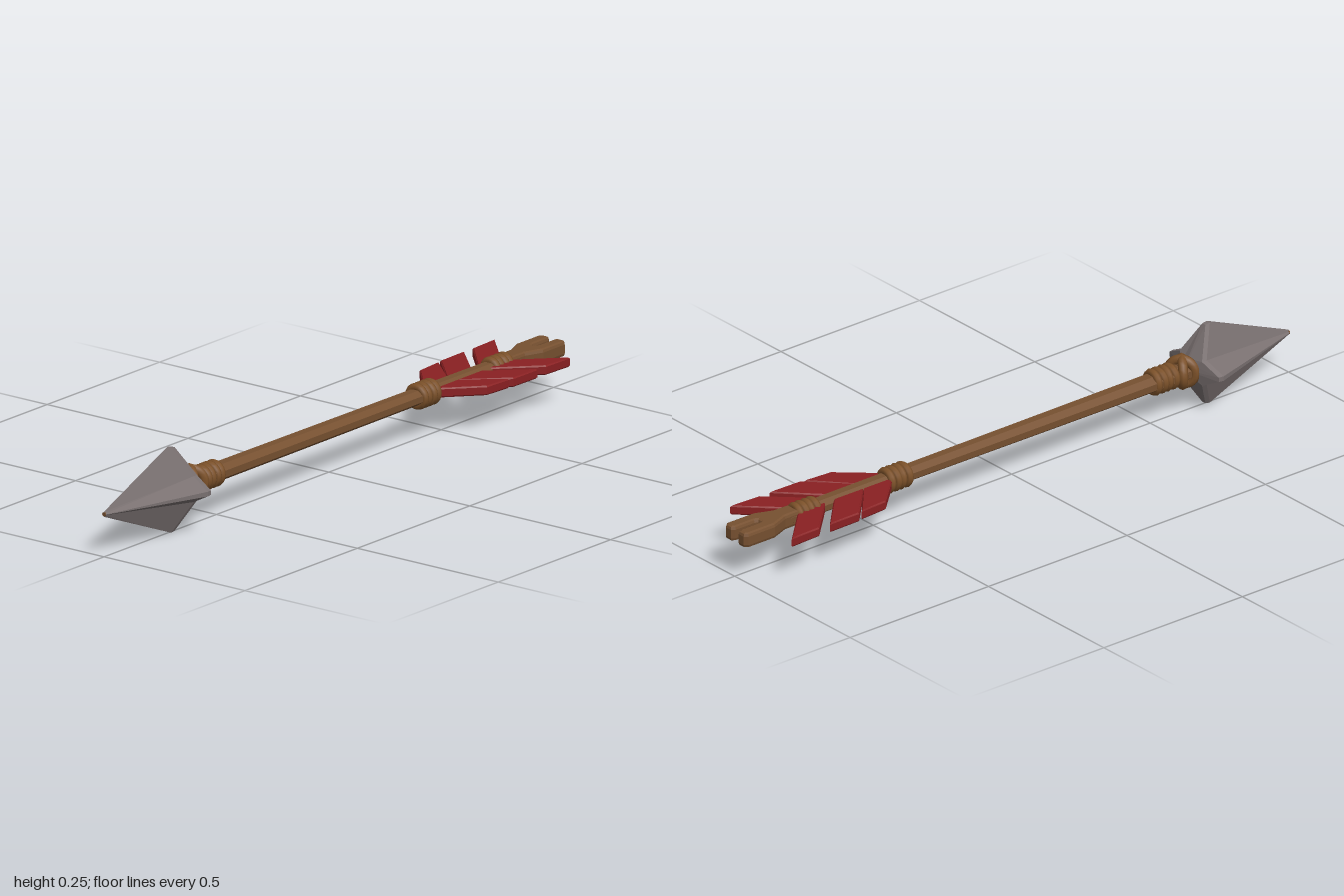
import * as THREE from 'three';

const mat = (name, color) => {
  const m = new THREE.MeshStandardMaterial({ color });
  m.name = name;
  return m;
};

export function createModel() {
  const wood = mat('wood brown', 0x765030);
  const cord = mat('cord brown', 0x7c5129);
  const red = mat('feather red', 0x8a2022);
  const steel = mat('stone grey', 0x797070);
  for (const m of [wood, red, steel]) m.flatShading = true;

  const model = new THREE.Group();
  model.name = 'arrow';
  const arrow = new THREE.Group();
  arrow.name = 'arrowParts';
  arrow.position.y = 0.125;
  model.add(arrow);
  const add = (name, geo, material, parent = arrow) => {
    const mesh = new THREE.Mesh(geo, material);
    mesh.name = name;
    parent.add(mesh);
    return mesh;
  };

  // Eight-sided shaft, flat on top, tapering towards the back
  const shaftGeo = new THREE.CylinderGeometry(0.0355, 0.029, 1.5, 8)
    .rotateY(Math.PI / 8).rotateX(Math.PI / 2).scale(1, 0.74, 1);
  add('shaft', shaftGeo, wood).position.z = -0.1;

  // Forked nock
  const half = [[0.022, 0.79], [0.023, 0.84], [0.044, 0.895], [0.044, 0.988], [0.037, 0.996],
    [0.019, 0.996], [0.013, 0.988], [0.013, 0.92], [0.007, 0.907]];
  const outline = [...half, ...half.map(([x, y]) => [-x, y]).reverse()]
    .map(([x, y]) => new THREE.Vector2(x, y));
  const nockGeo = new THREE.ExtrudeGeometry(new THREE.Shape(outline), {
    depth: 0.026, bevelEnabled: true, bevelThickness: 0.01, bevelSize: 0.008, bevelOffset: -0.004,
    bevelSegments: 2,
  }).translate(0, 0, -0.013).rotateX(-Math.PI / 2);
  add('nock', nockGeo, wood);

  // Three swept feathers on each side: [outer back, outer front, inner front, inner back] as x, -z
  const vanes = [
    [[0.131, 0.9], [0.127, 0.805], [0.018, 0.69], [0.018, 0.782]],
    [[0.128, 0.76], [0.126, 0.66], [0.018, 0.552], [0.018, 0.652]],
    [[0.122, 0.64], [0.116, 0.556], [0.018, 0.447], [0.018, 0.547]],
  ];
  for (const side of [1, -1]) {
    const fletching = new THREE.Group();
    fletching.name = side > 0 ? 'leftFletching' : 'rightFletching';
    arrow.add(fletching);
    for (const pts of vanes) {
      const shape = new THREE.Shape(pts.map(([x, y]) => new THREE.Vector2(side * x, y)));
      const geo = new THREE.ExtrudeGeometry(shape, {
        depth: 0.02, bevelEnabled: true, bevelThickness: 0.004, bevelSize: 0.004, bevelSegments: 1,
      }).translate(0, 0, -0.01).rotateX(-Math.PI / 2);
      add('feather', geo, red, fletching);
    }
  }

  // Cord bindings, each a row of rings
  const bindings = [['headBinding', 0.54, 0.028], ['frontFeatherBinding', -0.422, 0.027],
    ['rearFeatherBinding', -0.75, 0.023]];
  for (const [name, z, r] of bindings) {
    for (let i = 0; i < 4; i++) {
      const ring = add(name, new THREE.TorusGeometry(r, 0.0115, 8, 20), cord);
      ring.position.z = z + (i - 1.5) * 0.02;
      ring.rotation.y = (i % 2 ? 1 : -1) * 0.06;
    }
  }

  // Crossed lashing behind the head
  for (const s of [1, -1]) {
    const loop = add('crossedLashing', new THREE.TorusGeometry(0.038, 0.014, 8, 24), cord);
    loop.position.z = 0.615;
    loop.rotation.y = s * 0.6;
  }

  // Four-ridged head: blunt ridge tips with valleys between them
  const ring = [];
  const blunt = 0.007;
  for (let q = 0; q < 4; q++) {
    const [cx, sx] = [[1, 0], [0, 1], [-1, 0], [0, -1]][q];
    const reach = q % 2 ? 0.125 : 0.11;
    const z = q % 2 ? 0.702 : 0.667;
    for (const s of [-1, 1]) {
      ring.push([cx * reach - sx * s * blunt, sx * reach + cx * s * blunt, z]);
    }
    ring.push([[0.05, 0.038], [-0.05, 0.038], [-0.05, -0.038], [0.05, -0.038]][q].concat(0.655));
  }
  const n = ring.length;
  const sections = [
    ring.map(([x, y]) => [x * 0.06, y * 0.06, 1]),
    ring.map(([x, y, z]) => [x * 0.99, y * 0.99, z + 0.008]),
    ring.map(([x, y, z]) => [x * 0.97, y * 0.97, z - 0.008]),
    ring.map(([x, y]) => {
      const k = 0.032 / Math.hypot(x, y);
      return [x * k, y * k, 0.638];
    }),
  ];
  const verts = [...sections.flat(), [0, 0, 1], [0, 0, 0.638]];
  const index = [];
  for (let i = 0; i < n; i++) {
    const j = (i + 1) % n;
    for (let s = 0; s < 3; s++) {
      const a = s * n + i, b = s * n + j;
      index.push(a, a + n, b, b, a + n, b + n);
    }
    index.push(4 * n, i, j, 4 * n + 1, 3 * n + j, 3 * n + i);
  }
  const headGeo = new THREE.BufferGeometry();
  headGeo.setAttribute('position', new THREE.Float32BufferAttribute(verts.flat(), 3));
  headGeo.setIndex(index);
  headGeo.computeVertexNormals();
  add('arrowhead', headGeo, steel);

  // Small wooden dot at the very point
  const dot = new THREE.CylinderGeometry(0.006, 0.006, 0.004, 8).rotateX(Math.PI / 2);
  add('pointDot', dot, wood).position.z = 0.999;

  return model;
}
